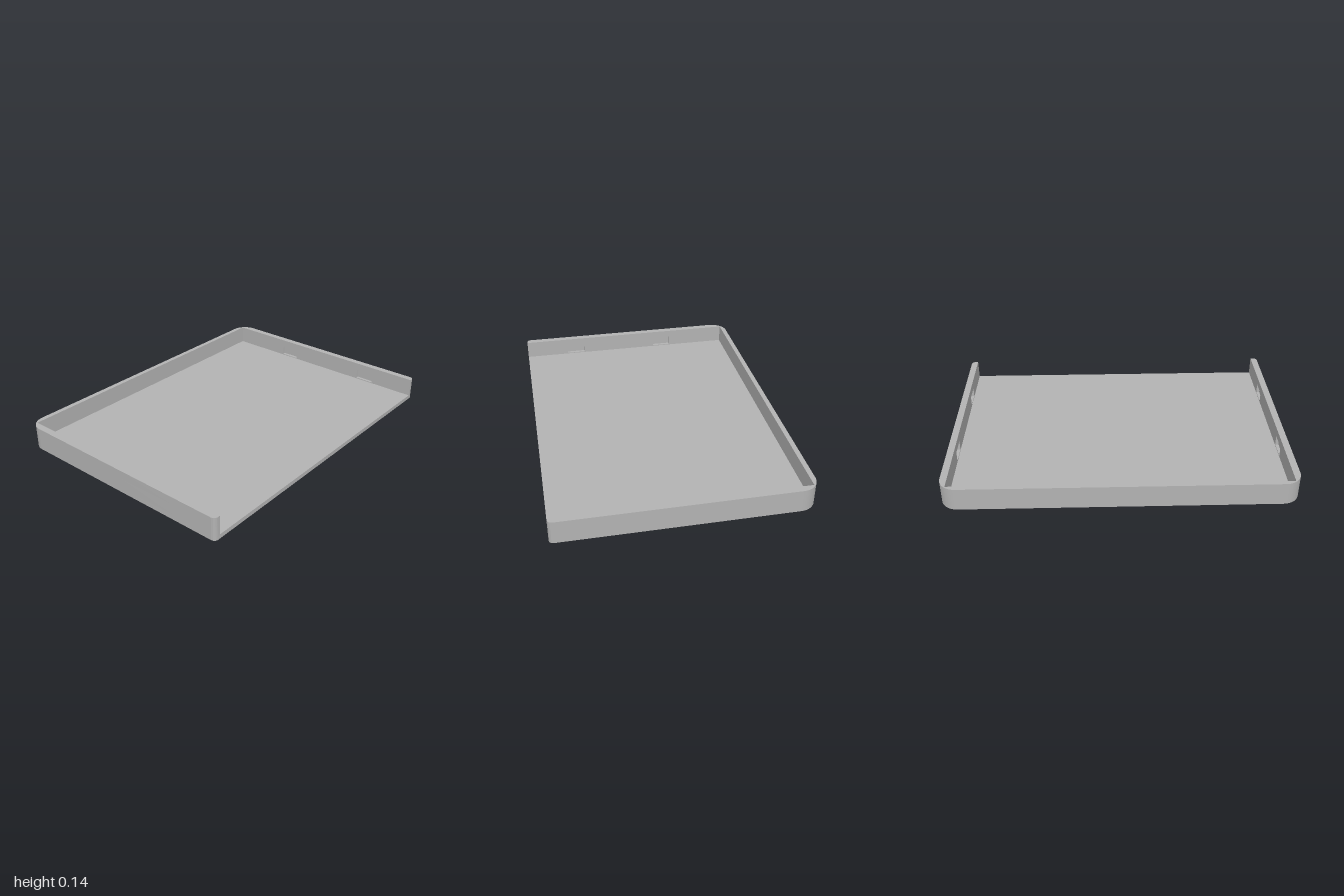
import * as THREE from 'three';
import { toCreasedNormals } from 'three/addons/utils/BufferGeometryUtils.js';

const W = 1, D = 0.724, H = 0.137;      // half width, half depth, height
const IN = 0.96, BACK = 0.695;          // inner faces of side and back walls
const FLOOR = 0.025, R = 0.1, r = 0.025; // floor thickness, back and front radii
const NOTCH_DEPTH = 0.02;
const NOTCHES = [[0.32, 0.44], [-0.31, -0.19]]; // z ranges, front to back

// Outlines are drawn in plan, with shape y pointing to the back.
function outerOutline(shape) {
  shape.moveTo(W - r, -D);
  shape.absarc(W - r, -D + r, r, -Math.PI / 2, 0);
  shape.absarc(W - R, D - R, R, 0, Math.PI / 2);
  shape.absarc(-W + R, D - R, R, Math.PI / 2, Math.PI);
  shape.absarc(-W + r, -D + r, r, Math.PI, Math.PI * 1.5);
  return shape;
}

// U-shaped wall, optionally with pockets cut in the inner side faces
function wallOutline(notched) {
  const side = [[IN, -D]];
  if (notched) {
    for (const [z0, z1] of NOTCHES) {
      side.push([IN, -z1], [IN + NOTCH_DEPTH, -z1], [IN + NOTCH_DEPTH, -z0], [IN, -z0]);
    }
  }
  side.push([IN, BACK]);
  const shape = outerOutline(new THREE.Shape());
  for (const [x, y] of side) shape.lineTo(-x, y);
  for (const [x, y] of [...side].reverse()) shape.lineTo(x, y);
  shape.closePath();
  return shape;
}

function slab(name, shape, y0, y1, material) {
  const geo = new THREE.ExtrudeGeometry(shape, { depth: y1 - y0, bevelEnabled: false, curveSegments: 16 });
  geo.rotateX(-Math.PI / 2);
  geo.translate(0, y0, 0);
  const mesh = new THREE.Mesh(toCreasedNormals(geo, 0.5), material);
  mesh.name = name;
  return mesh;
}

const polygon = (points) => new THREE.Path(points.map(([x, z]) => new THREE.Vector2(x, -z)));

export function createModel() {
  const group = new THREE.Group();
  group.name = 'tray';
  const grey = new THREE.MeshStandardMaterial({ color: 0xb2b2b2 });
  grey.name = 'grey plastic';

  // Floor: the underside layer has an engraved bar and direction triangle
  const underside = outerOutline(new THREE.Shape());
  underside.holes.push(
    polygon([[0.62, -0.595], [0.82, -0.595], [0.82, -0.57], [0.62, -0.57]]),
    polygon([[0.63, -0.54], [0.81, -0.54], [0.72, -0.435]]),
  );
  group.add(slab('floorUnderside', underside, 0, 0.012, grey));
  group.add(slab('floor', outerOutline(new THREE.Shape()), 0.012, FLOOR, grey));

  // Walls: three bands, the middle one carrying the pockets
  group.add(slab('wallBase', wallOutline(false), FLOOR, 0.03, grey));
  group.add(slab('wallPocketBand', wallOutline(true), 0.03, 0.09, grey));
  group.add(slab('wallRim', wallOutline(false), 0.09, H, grey));
  return group;
}
